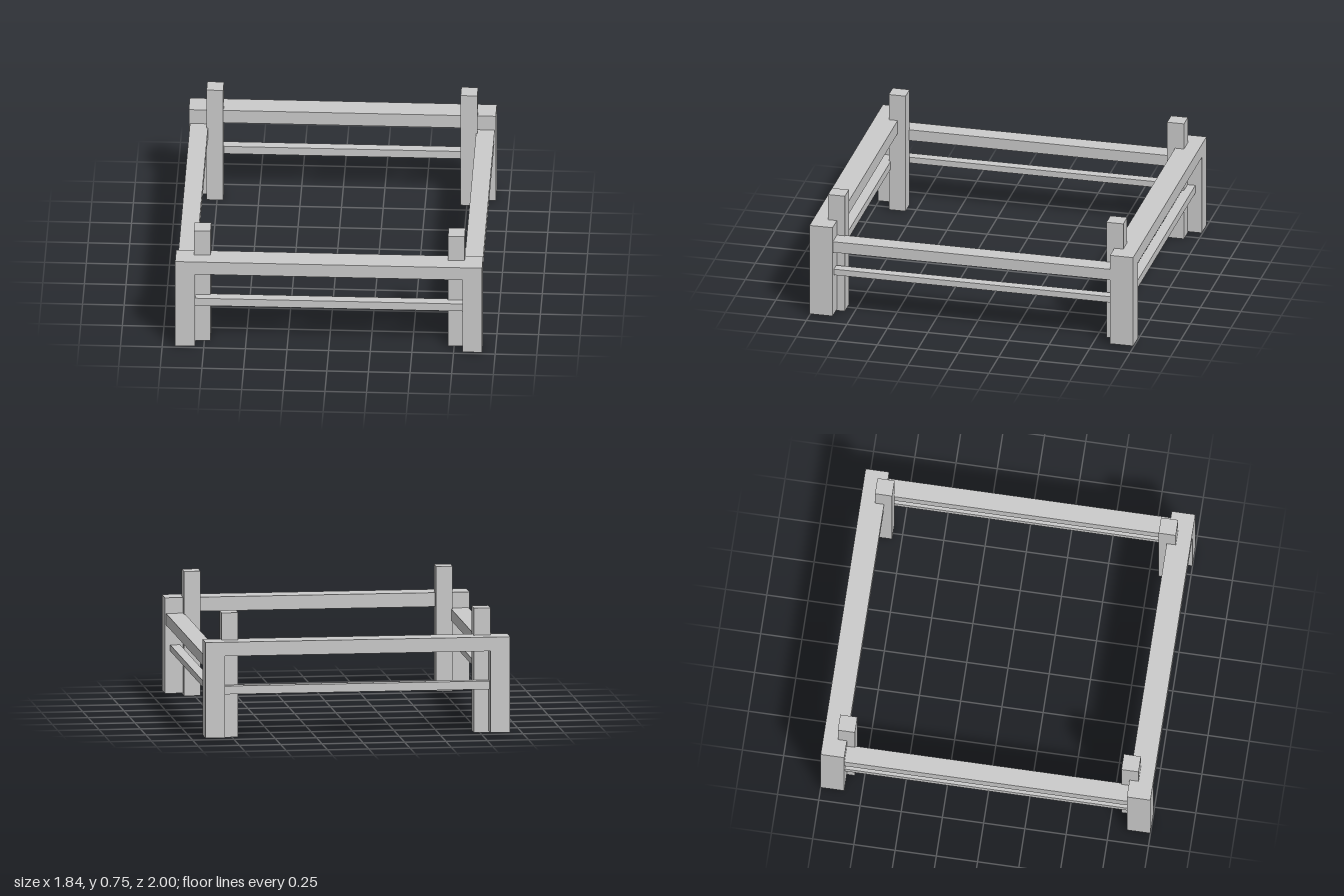
import * as THREE from 'three';

const material = new THREE.MeshStandardMaterial({
  color: 0xcccccc, flatShading: true, side: THREE.DoubleSide,
});

// Hollow box given by its bounds, with the underside left open
function openBox(name, [x0, x1], [y0, y1], [z0, z1]) {
  const geometry = new THREE.BoxGeometry(x1 - x0, y1 - y0, z1 - z0);
  const index = Array.from(geometry.index.array);
  index.splice(18, 6); // drop the bottom face
  geometry.setIndex(index);
  geometry.clearGroups();
  geometry.translate((x0 + x1) / 2, (y0 + y1) / 2, (z0 + z1) / 2);
  const mesh = new THREE.Mesh(geometry, material);
  mesh.name = name;
  return mesh;
}

// Range from a to b, mirrored when the side is negative
const range = (side, a, b) => (side > 0 ? [a, b] : [-b, -a]);

export function createModel() {
  const group = new THREE.Group();
  group.name = 'bedFrame';

  // End frames: two legs, a top beam and a thin lower rail
  for (const sz of [1, -1]) {
    const end = sz > 0 ? 'front' : 'back';
    const frame = new THREE.Group();
    frame.name = end + 'Frame';
    const depth = range(sz, 0.857, 1);
    for (const sx of [1, -1]) {
      const side = sx > 0 ? 'Left' : 'Right';
      frame.add(openBox(end + side + 'Leg', range(sx, 0.803, 0.922), [0.01, 0.59], depth));
    }
    frame.add(openBox(end + 'Beam', [-0.803, 0.803], [0.505, 0.59], depth));
    frame.add(openBox(end + 'Rail', [-0.803, 0.803], [0.268, 0.318], range(sz, 0.9, 0.96)));
    group.add(frame);
  }

  // Side beams and thin side rails between the end frames
  for (const sx of [1, -1]) {
    const side = sx > 0 ? 'left' : 'right';
    group.add(openBox(side + 'Beam', range(sx, 0.805, 0.915), [0.425, 0.495], [-0.857, 0.857]));
    group.add(openBox(side + 'Rail', range(sx, 0.83, 0.89), [0.266, 0.304], [-0.857, 0.857]));
  }

  // Tall inner corner posts
  for (const sz of [1, -1]) {
    for (const sx of [1, -1]) {
      const name = (sz > 0 ? 'front' : 'back') + (sx > 0 ? 'Left' : 'Right') + 'Post';
      group.add(openBox(name, range(sx, 0.713, 0.813), [0, 0.755], range(sz, 0.808, 0.912)));
    }
  }
  return group;
}
